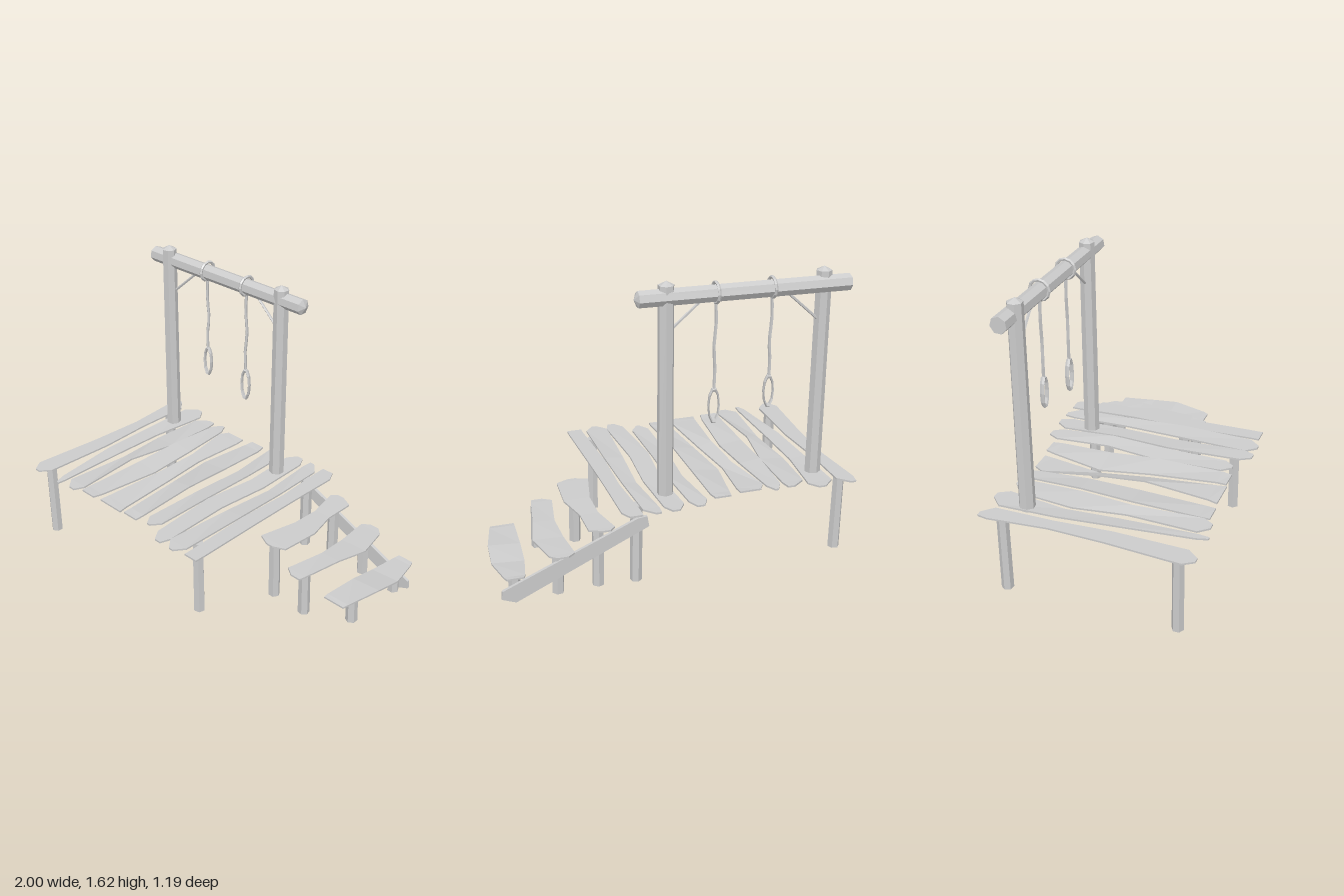
import * as THREE from 'three';

const mat = new THREE.MeshStandardMaterial({ color: 0xcccccc, flatShading: true });
const V = (x, y, z) => new THREE.Vector3(x, y, z);

export function createModel() {
  const root = new THREE.Group();
  const add = (name, geo, parent = root) => {
    const mesh = new THREE.Mesh(geo, mat);
    mesh.name = name;
    parent.add(mesh);
    return mesh;
  };
  const group = (name) => {
    const g = new THREE.Group();
    g.name = name;
    root.add(g);
    return g;
  };

  // Rough-hewn board: left and right edges sampled at six stations from back to front
  const stations = [0, 0.05, 0.33, 0.6, 0.95, 1];
  function plankGeometry(zBack, zFront, left, right, y, bow, tilt) {
    const t = 0.005;
    const rows = stations.map((s, i) => {
      const z = zBack + (zFront - zBack) * s;
      const h = y - bow * Math.sin(s * Math.PI * 2);
      const roll = tilt * Math.sin(s * Math.PI);
      return [
        [left[i], h + t - roll, z], [right[i], h + t + roll, z],
        [right[i], h - t + roll, z], [left[i], h - t - roll, z],
      ];
    });
    const pos = [];
    const quad = (a, b, c, d) => pos.push(...a, ...b, ...c, ...a, ...c, ...d);
    for (let i = 0; i < rows.length - 1; i++) {
      for (let k = 0; k < 4; k++) {
        const n = (k + 1) % 4;
        quad(rows[i][k], rows[i + 1][k], rows[i + 1][n], rows[i][n]);
      }
    }
    const [b, f] = [rows[0], rows[rows.length - 1]];
    quad(b[0], b[1], b[2], b[3]);
    quad(f[0], f[3], f[2], f[1]);
    const geo = new THREE.BufferGeometry();
    geo.setAttribute('position', new THREE.Float32BufferAttribute(pos, 3));
    geo.computeVertexNormals();
    return geo;
  }

  // Platform boards
  const deck = group('deck');
  const board = (zb, zf, l, r, bow, tilt) =>
    add('deckPlank', plankGeometry(zb, zf, l, r, 0.453, bow, tilt), deck);
  board(-0.58, 0.59, [-0.98, -0.99, -0.96, -0.97, -1, -0.96], [-0.95, -0.89, -0.89, -0.87, -0.88, -0.93], 0, 0);
  board(-0.58, 0.59, [-0.8, -0.86, -0.85, -0.83, -0.78, -0.76], [-0.76, -0.72, -0.76, -0.75, -0.74, -0.745], 0.006, -0.005);
  board(-0.53, 0.57, [-0.64, -0.71, -0.73, -0.7, -0.72, -0.67], [-0.6, -0.59, -0.59, -0.63, -0.6, -0.63], 0.006, 0.008);
  board(-0.54, 0.54, [-0.54, -0.57, -0.58, -0.585, -0.59, -0.59], [-0.52, -0.49, -0.46, -0.45, -0.48, -0.49], -0.008, -0.008);
  board(-0.51, 0.53, [-0.45, -0.48, -0.42, -0.4, -0.43, -0.44], [-0.33, -0.33, -0.36, -0.32, -0.28, -0.27], 0.008, -0.013);
  board(-0.53, 0.52, [-0.27, -0.28, -0.33, -0.29, -0.25, -0.25], [-0.18, -0.17, -0.17, -0.16, -0.145, -0.15], 0.01, 0.012);
  board(-0.59, 0.5, [-0.1, -0.13, -0.1, -0.125, -0.12, -0.08], [-0.06, -0.03, -0.01, -0.02, -0.02, -0.06], -0.006, 0.008);
  board(-0.6, 0.57, [0.04, 0, 0.02, -0.01, 0.02, 0.06], [0.08, 0.11, 0.12, 0.1, 0.12, 0.1], 0.004, -0.004);
  board(-0.6, 0.57, [0.14, 0.135, 0.16, 0.14, 0.12, 0.17], [0.17, 0.225, 0.24, 0.25, 0.245, 0.2], 0.005, 0.006);
  board(-0.6, 0.55, [0.24, 0.24, 0.26, 0.25, 0.27, 0.27], [0.31, 0.34, 0.34, 0.345, 0.355, 0.355], 0, 0);

  // Step boards descending to the left
  const steps = group('steps');
  const step = (zb, zf, l, r, y, bow, tilt) =>
    add('stepPlank', plankGeometry(zb, zf, l, r, y, bow, tilt), steps);
  step(-0.55, 0.09, [0.4, 0.37, 0.41, 0.41, 0.36, 0.43], [0.44, 0.51, 0.51, 0.555, 0.54, 0.47], 0.367, 0.003, 0);
  step(-0.57, 0.1, [0.63, 0.59, 0.605, 0.61, 0.57, 0.62], [0.69, 0.725, 0.77, 0.73, 0.69, 0.68], 0.263, 0.004, 0.004);
  step(-0.55, 0.03, [0.86, 0.85, 0.82, 0.81, 0.8, 0.8], [0.95, 0.96, 0.995, 0.985, 0.94, 0.93], 0.174, 0.013, 0.008);

  // Round timber between two points, with optional pointed end
  function timber(name, a, b, r, sides, parent = root, point = 0, spin = 0) {
    const g = new THREE.Group();
    g.name = name;
    const len = a.distanceTo(b);
    add(name + 'Shaft', new THREE.CylinderGeometry(r * 0.96, r, len, sides), g);
    if (point) {
      add(name + 'Tip', new THREE.ConeGeometry(r * 0.96, point, sides), g).position.y = len / 2 + point / 2;
    }
    g.children.forEach((m) => m.geometry.rotateY(spin));
    g.position.copy(a).lerp(b, 0.5);
    g.quaternion.setFromUnitVectors(V(0, 1, 0), b.clone().sub(a).normalize());
    parent.add(g);
    return g;
  }

  // Legs under the deck and steps: x, z, top height, foot height
  const legs = group('legs');
  [
    [-0.93, 0.495, 0.45, 0], [-0.93, -0.46, 0.45, 0],
    [0.24, 0.42, 0.45, 0], [0.24, -0.46, 0.45, 0],
    [0.45, 0.04, 0.365, 0.01], [0.45, -0.46, 0.365, 0.01],
    [0.67, 0.04, 0.26, 0.01], [0.67, -0.47, 0.26, 0.01],
    [0.9, -0.09, 0.175, 0.01], [0.9, -0.46, 0.165, 0.01],
  ].forEach(([x, z, top, foot], i) =>
    timber('leg', V(x, foot, z), V(x - 0.005, top, z), 0.033, 6, legs, 0, i * 0.4));

  // Slanted side board of the steps
  const side = new THREE.Shape([
    [0.18, 0.335], [0.9, 0.01], [0.975, 0.04], [0.97, 0.085], [0.24, 0.39], [0.19, 0.395],
  ].map(([x, y]) => new THREE.Vector2(x, y)));
  add('stepStringer', new THREE.ExtrudeGeometry(side, { depth: 0.018, bevelEnabled: false })).position.z = -0.509;

  // Upright posts with pointed tops and the crossbeam
  timber('leftPost', V(0.055, 0.44, -0.395), V(0.055, 1.6, -0.395), 0.044, 7, root, 0.022, 0.2);
  timber('rightPost', V(-0.81, 0.44, -0.38), V(-0.812, 1.6, -0.38), 0.044, 7, root, 0.022, 0.6);
  timber('crossbeam', V(-0.95, 1.53, -0.4), V(0.205, 1.54, -0.4), 0.046, 7, root, 0.02, 0.3);

  // Diagonal braces
  timber('rightBrace', V(-0.78, 1.345, -0.39), V(-0.6, 1.505, -0.4), 0.008, 5);
  timber('leftBrace', V(0.03, 1.365, -0.395), V(-0.13, 1.505, -0.4), 0.008, 5);

  // Hanging ropes: loop over the beam, strand and oval ring
  for (const [x, ringY, ringH] of [[-0.515, 0.972, 0.085], [-0.208, 0.928, 0.092]]) {
    const rope = group('hangingRope');
    const loop = add('beamLoop', new THREE.TorusGeometry(0.053, 0.009, 5, 12), rope);
    loop.rotation.y = Math.PI / 2;
    loop.position.set(x, 1.54, -0.4);
    const path = new THREE.CatmullRomCurve3([
      V(x, 1.5, -0.4), V(x - 0.005, 1.38, -0.4), V(x + 0.005, 1.25, -0.402),
      V(x - 0.004, 1.14, -0.398), V(x, ringY + ringH - 0.005, -0.4),
    ]);
    add('strand', new THREE.TubeGeometry(path, 8, 0.009, 5), rope);
    const ring = add('ring', new THREE.TorusGeometry(ringH, 0.013, 5, 10), rope);
    ring.scale.x = 0.32;
    ring.geometry.scale(1, 1, 1.0);
    ring.position.set(x, ringY, -0.4);
  }
  return root;
}
